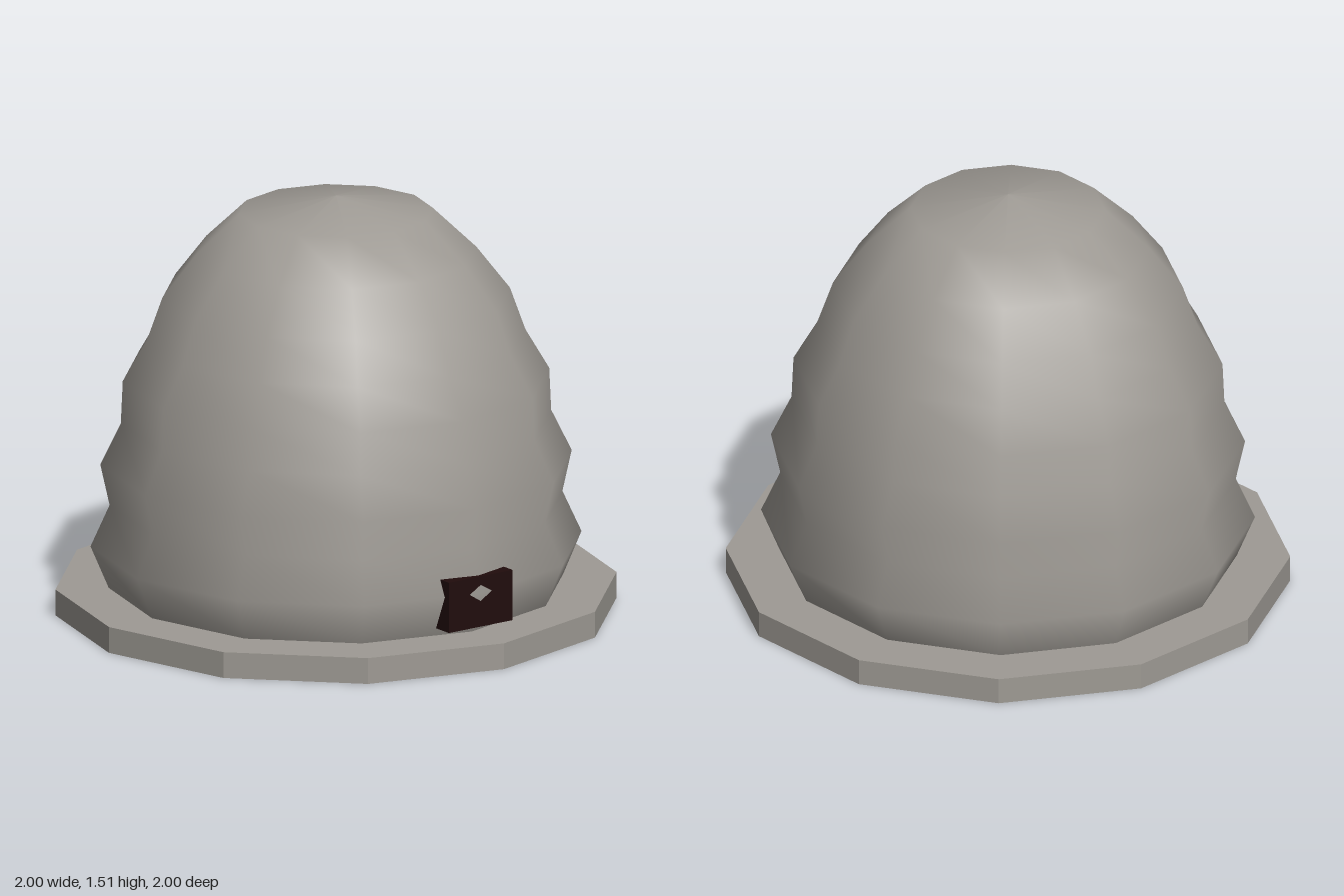
import * as THREE from 'three';

export function createModel() {
  const model = new THREE.Group();
  const stone = new THREE.MeshStandardMaterial({ color: 0x9e9a94 });
  stone.name = 'warm grey';
  const dark = new THREE.MeshStandardMaterial({ color: 0x200c0c });
  dark.name = 'dark brown';

  const SIDES = 12;

  function add(name, geometry, material, y = 0, z = 0) {
    const mesh = new THREE.Mesh(geometry, material);
    mesh.name = name;
    mesh.position.set(0, y, z);
    model.add(mesh);
  }

  // Faceted base slab
  const slabHeight = 0.095;
  const slab = new THREE.CylinderGeometry(1, 1, slabHeight, SIDES).toNonIndexed();
  slab.computeVertexNormals();
  add('baseSlab', slab, stone, slabHeight / 2);

  // Ribbed dome, smooth around a twelve-sided profile
  const profile = [
    [0.81, 0.095], [0.875, 0.25], [0.807, 0.4], [0.84, 0.55], [0.767, 0.7], [0.76, 0.855],
    [0.675, 1.0], [0.62, 1.155], [0.5, 1.31], [0.345, 1.458], [0, 1.515],
  ].map(([r, y]) => new THREE.Vector2(r, y));
  add('dome', new THREE.LatheGeometry(profile, SIDES), stone);

  // Entrance block sunk into the lowest rib, which pokes through its middle
  const depth = 0.12, front = 0.862;
  add('entrance', new THREE.BoxGeometry(0.28, 0.185, depth), dark, 0.2175, front - depth / 2);

  return model;
}
